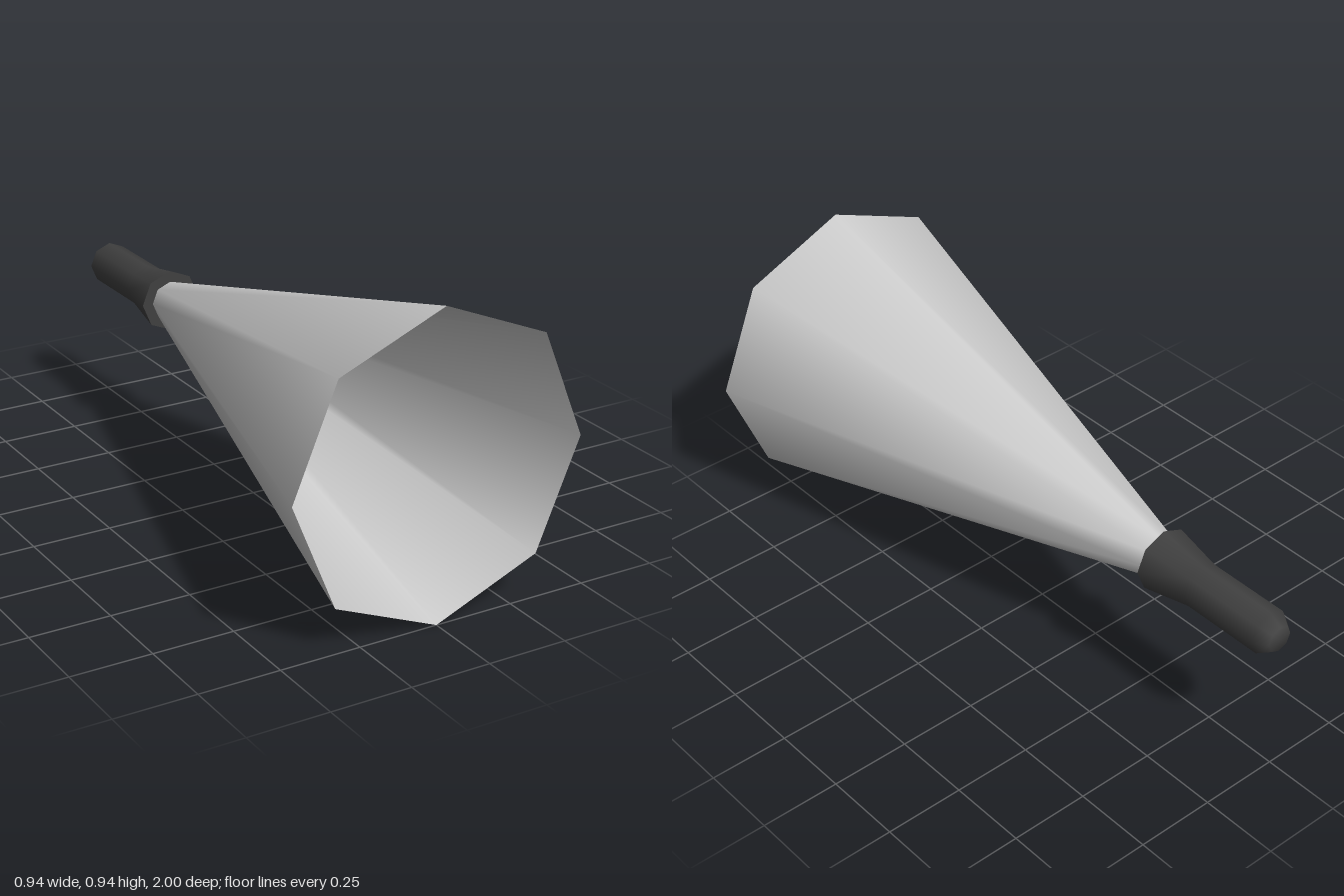
import * as THREE from 'three';

const SIDES = 8;
const AXIS_HEIGHT = 0.47;

// Lathe around the z axis from [radius, z] pairs, listed back to front
function turned(points) {
  const geometry = new THREE.LatheGeometry(points.map(([r, z]) => new THREE.Vector2(r, z)), SIDES);
  return geometry.rotateX(Math.PI / 2);
}

export function createModel() {
  const paleGrey = new THREE.MeshStandardMaterial({ name: 'paleGrey', color: 0xcccccc, side: THREE.DoubleSide });
  const darkGrey = new THREE.MeshStandardMaterial({ name: 'darkGrey', color: 0x404040, side: THREE.DoubleSide });

  const model = new THREE.Group();
  model.name = 'megaphone';
  const add = (name, geometry, material, z = 0) => {
    const mesh = new THREE.Mesh(geometry, material);
    mesh.name = name;
    mesh.position.set(0, AXIS_HEIGHT, z);
    model.add(mesh);
  };

  // Open flared horn, with a small disc closing its narrow end
  add('horn', turned([[0.064, -0.53], [0.468, 1]]), paleGrey);
  add('hornEnd', new THREE.CircleGeometry(0.064, SIDES), paleGrey, -0.528);

  // Grip with a flared collar and a rounded tip
  add('grip', turned([[0, -1], [0.042, -1], [0.07, -0.96], [0.07, -0.69], [0.1, -0.53]]), darkGrey);
  add('collarFace', new THREE.RingGeometry(0.06, 0.1, SIDES), darkGrey, -0.53);

  return model;
}
